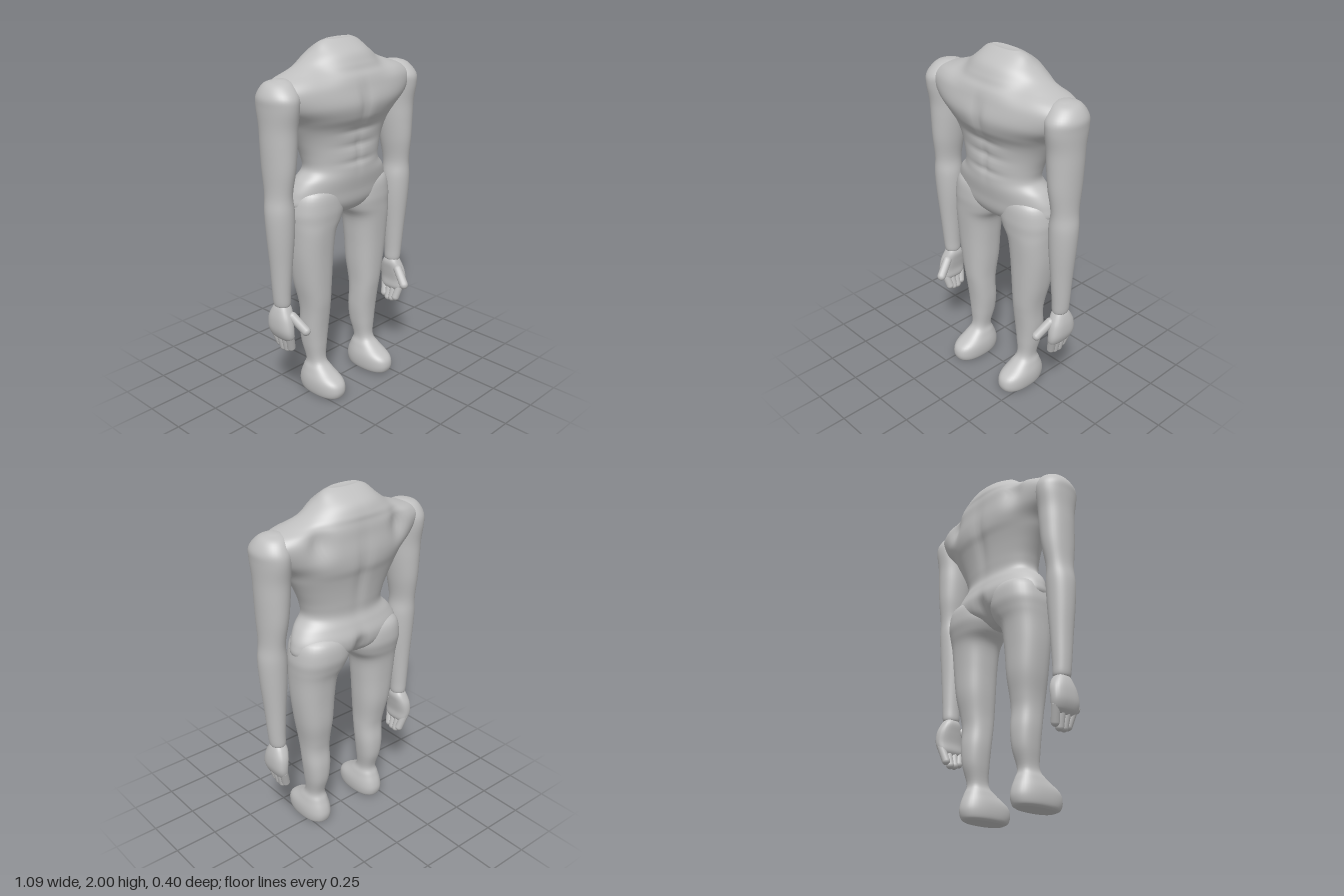
import * as THREE from 'three';

const skin = new THREE.MeshStandardMaterial({ color: 0xc0c0c0 });
skin.name = 'grey skin';

const bell = (v, centre, width) => Math.exp(-(((v - centre) / width) ** 2));

// Smooth body through level rings listed from top to bottom:
// [y, centre x, half width, front z, back z]; capDip sinks the middle of the top.
function loft(name, rings, { side = 1, n = 2, steps = 5, segments = 40, capDip = 0, shape } = {}) {
  const a = new THREE.CatmullRomCurve3(rings.map(r => new THREE.Vector3(r[0], r[1] * side, r[2])), false, 'catmullrom', 0.5);
  const b = new THREE.CatmullRomCurve3(rings.map(r => new THREE.Vector3(r[3], r[4], 0)), false, 'catmullrom', 0.5);
  const rows = (rings.length - 1) * steps;
  const pos = [], index = [];
  const power = v => Math.sign(v) * Math.abs(v) ** (2 / n);
  for (let i = 0; i <= rows; i++) {
    const p = a.getPoint(i / rows), q = b.getPoint(i / rows);
    const mid = (q.x + q.y) / 2, depth = (q.x - q.y) / 2;
    for (let j = 0; j < segments; j++) {
      const t = (j / segments) * Math.PI * 2;
      const v = new THREE.Vector3(p.y + p.z * power(Math.cos(t)), p.x, mid + depth * power(Math.sin(t)));
      if (shape) shape(v, Math.sin(t));
      pos.push(v.x, v.y, v.z);
    }
  }
  const top = pos.length / 3, bottom = top + 1;
  for (const [k, dip] of [[0, capDip], [rows, 0]]) {
    const p = a.getPoint(k / rows), q = b.getPoint(k / rows);
    pos.push(p.y, p.x - dip, (q.x + q.y) / 2);
  }
  for (let j = 0; j < segments; j++) {
    const k = (j + 1) % segments, last = rows * segments;
    index.push(top, k, j, bottom, last + j, last + k);
    for (let i = 0; i < rows; i++) {
      const r = i * segments, s = r + segments;
      index.push(r + j, r + k, s + j, r + k, s + k, s + j);
    }
  }
  const g = new THREE.BufferGeometry();
  g.setAttribute('position', new THREE.Float32BufferAttribute(pos, 3));
  g.setIndex(index);
  g.computeVertexNormals();
  const mesh = new THREE.Mesh(g, skin);
  mesh.name = name;
  return mesh;
}

// Rounded digit between two points
function digit(name, from, to, radius) {
  const a = new THREE.Vector3(...from), b = new THREE.Vector3(...to);
  const d = b.clone().sub(a);
  const mesh = new THREE.Mesh(new THREE.CapsuleGeometry(radius, d.length(), 6, 14), skin);
  mesh.position.copy(a).add(b).multiplyScalar(0.5);
  mesh.quaternion.setFromUnitVectors(new THREE.Vector3(0, 1, 0), d.normalize());
  mesh.name = name;
  return mesh;
}

// Muscle relief on the torso
function muscles(v, facing) {
  const x = Math.abs(v.x), y = v.y;
  if (facing > 0) {
    v.z -= facing * 0.018 * bell(x, 0, 0.03) * bell(y, 1.68, 0.09);   // between the chest muscles
    v.z -= facing * 0.03 * bell(x, 0.24, 0.08) * bell(y, 1.86, 0.05); // above the collar bones
    v.z -= facing * 0.008 * bell(x, 0, 0.02) * bell(y, 1.42, 0.1);    // middle of the belly
    for (const level of [1.53, 1.45, 1.36]) v.z -= facing * 0.008 * bell(x, 0, 0.13) * bell(y, level, 0.018);
  } else {
    v.z -= facing * 0.014 * bell(x, 0, 0.035) * bell(y, 1.58, 0.2);   // spine
    v.z -= facing * 0.045 * bell(x, 0.26, 0.06) * bell(y, 1.78, 0.09);// behind the shoulders
    v.z -= facing * 0.04 * bell(x, 0, 0.035) * bell(y, 1.13, 0.07);   // between the buttocks
  }
}

export function createModel() {
  const model = new THREE.Group();
  model.name = 'headless figure';

  // Torso from neck stump to crotch
  model.add(loft('torso', [
    [1.995, 0, 0.09, 0.01, -0.045],
    [1.975, 0, 0.14, 0.04, -0.085],
    [1.93, 0, 0.19, 0.1, -0.15],
    [1.88, 0, 0.265, 0.13, -0.177],
    [1.845, 0, 0.36, 0.145, -0.182],
    [1.81, 0, 0.465, 0.165, -0.187],
    [1.76, 0, 0.52, 0.18, -0.19],
    [1.68, 0, 0.465, 0.197, -0.197],
    [1.61, 0, 0.38, 0.182, -0.193],
    [1.55, 0, 0.34, 0.15, -0.175],
    [1.48, 0, 0.3, 0.137, -0.16],
    [1.4, 0, 0.265, 0.138, -0.148],
    [1.33, 0, 0.255, 0.14, -0.142],
    [1.27, 0, 0.308, 0.138, -0.16],
    [1.2, 0, 0.343, 0.126, -0.18],
    [1.13, 0, 0.335, 0.115, -0.165],
    [1.08, 0, 0.18, 0.085, -0.11],
    [1.05, 0, 0.04, 0.03, -0.05],
  ], { n: 2.1, steps: 6, segments: 96, capDip: 0.01, shape: muscles }));

  for (const [label, side] of [['left', 1], ['right', -1]]) {
    // Leg and foot in one piece
    model.add(loft(label + 'Leg', [
      [1.26, 0.17, 0.06, 0.05, -0.09],
      [1.21, 0.178, 0.145, 0.105, -0.165],
      [1.12, 0.182, 0.167, 0.118, -0.18],
      [1.05, 0.192, 0.156, 0.115, -0.165],
      [0.98, 0.213, 0.13, 0.11, -0.145],
      [0.85, 0.217, 0.117, 0.1, -0.132],
      [0.7, 0.212, 0.102, 0.092, -0.122],
      [0.58, 0.205, 0.085, 0.085, -0.1],
      [0.5, 0.201, 0.079, 0.075, -0.09],
      [0.4, 0.2, 0.076, 0.062, -0.097],
      [0.3, 0.2, 0.065, 0.055, -0.09],
      [0.2, 0.2, 0.05, 0.056, -0.062],
      [0.15, 0.2, 0.065, 0.105, -0.078],
      [0.1, 0.2, 0.081, 0.185, -0.098],
      [0.055, 0.2, 0.084, 0.203, -0.106],
      [0.015, 0.2, 0.077, 0.192, -0.096],
      [0, 0.2, 0.06, 0.165, -0.075],
    ], { side, n: 2.35 }));

    // Arm from shoulder cap to wrist
    model.add(loft(label + 'Arm', [
      [1.835, 0.425, 0.025, 0.025, -0.03],
      [1.815, 0.435, 0.07, 0.075, -0.085],
      [1.76, 0.446, 0.095, 0.125, -0.122],
      [1.7, 0.449, 0.093, 0.13, -0.128],
      [1.6, 0.448, 0.088, 0.113, -0.113],
      [1.5, 0.449, 0.085, 0.108, -0.108],
      [1.38, 0.453, 0.077, 0.102, -0.1],
      [1.25, 0.46, 0.066, 0.085, -0.08],
      [1.15, 0.459, 0.077, 0.088, -0.077],
      [1.02, 0.457, 0.073, 0.082, -0.07],
      [0.85, 0.456, 0.058, 0.067, -0.06],
      [0.7, 0.455, 0.048, 0.054, -0.053],
      [0.63, 0.452, 0.043, 0.048, -0.05],
      [0.615, 0.452, 0.03, 0.035, -0.035],
    ], { side }));

    // Hand
    const hand = new THREE.Group();
    hand.name = label + 'Hand';
    hand.add(loft('palm', [
      [0.635, 0.45, 0.03, 0.035, -0.035],
      [0.6, 0.452, 0.044, 0.055, -0.06],
      [0.55, 0.461, 0.046, 0.078, -0.082],
      [0.49, 0.466, 0.041, 0.09, -0.086],
      [0.445, 0.458, 0.034, 0.085, -0.076],
      [0.42, 0.452, 0.018, 0.06, -0.055],
    ], { side, n: 2.5, segments: 28 }));
    for (const [i, tip] of [0.376, 0.364, 0.362, 0.38].entries()) {
      hand.add(digit('finger', [0.46 * side, 0.46, 0.064 - i * 0.041], [0.436 * side, tip, 0.046 - i * 0.029], 0.023));
    }
    hand.add(digit('thumb', [0.436 * side, 0.565, 0.06], [0.407 * side, 0.494, 0.133], 0.026));
    model.add(hand);
  }
  return model;
}
